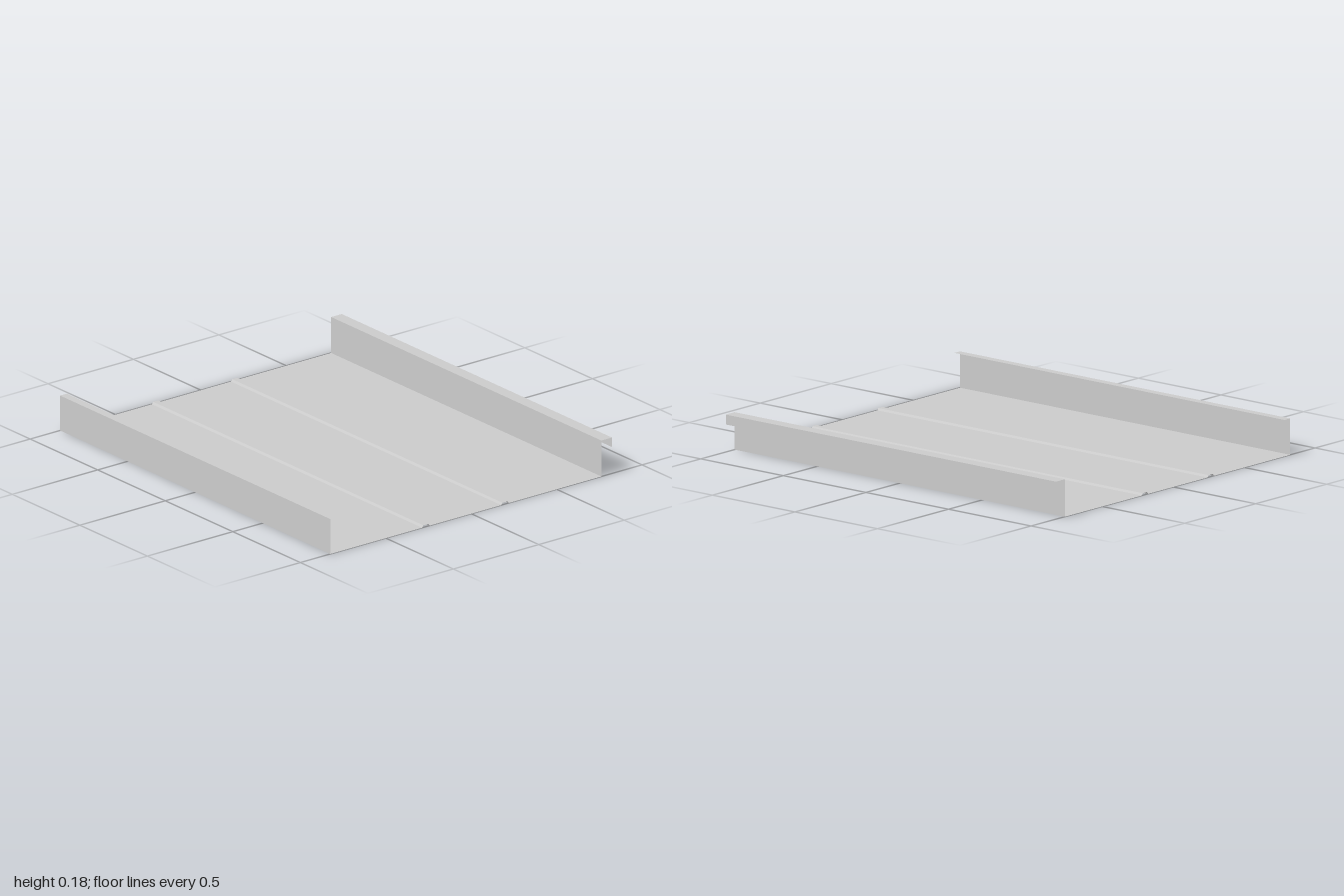
import * as THREE from 'three';

const LENGTH = 2;
const material = new THREE.MeshStandardMaterial({
  color: 0xcccccc, flatShading: true, side: THREE.DoubleSide,
});

// Sweeps an open [x, y] profile along z as thin sheet metal with sharp folds.
function foldedSheet(name, profile) {
  const positions = [];
  const h = LENGTH / 2;
  for (let i = 0; i < profile.length - 1; i++) {
    const [ax, ay] = profile[i];
    const [bx, by] = profile[i + 1];
    positions.push(ax, ay, h, bx, by, h, bx, by, -h);
    positions.push(ax, ay, h, bx, by, -h, ax, ay, -h);
  }
  const geometry = new THREE.BufferGeometry();
  geometry.setAttribute('position', new THREE.Float32BufferAttribute(positions, 3));
  geometry.computeVertexNormals();
  const mesh = new THREE.Mesh(geometry, material);
  mesh.name = name;
  return mesh;
}

export function createModel() {
  const group = new THREE.Group();
  group.name = 'roofPanel';

  const leftX = 0.762, rightX = -0.825;
  const ribHeight = 0.01, ribSlope = 0.007;
  const ribs = [[-0.287, -0.243], [0.176, 0.22]];

  // Flat pan sections between the stiffening ribs
  const edges = [rightX, ...ribs.flat(), leftX];
  for (let i = 0; i < edges.length; i += 2) {
    group.add(foldedSheet('pan' + (i / 2 + 1), [[edges[i], 0], [edges[i + 1], 0]]));
  }

  // Shallow raised ribs with sloped sides
  ribs.forEach(([a, b], i) => group.add(foldedSheet('rib' + (i + 1), [
    [a, 0], [a + ribSlope, ribHeight], [b - ribSlope, ribHeight], [b, 0],
  ])));

  // Plain seam: upright wall with a short inward flange
  group.add(foldedSheet('rightSeam', [[-0.785, 0.172], [rightX, 0.172], [rightX, 0]]));

  // Covering seam: upright wall, outward flange and hanging lip
  group.add(foldedSheet('leftSeam', [
    [leftX, 0], [leftX, 0.177], [0.824, 0.177], [0.824, 0.13],
  ]));

  return group;
}
